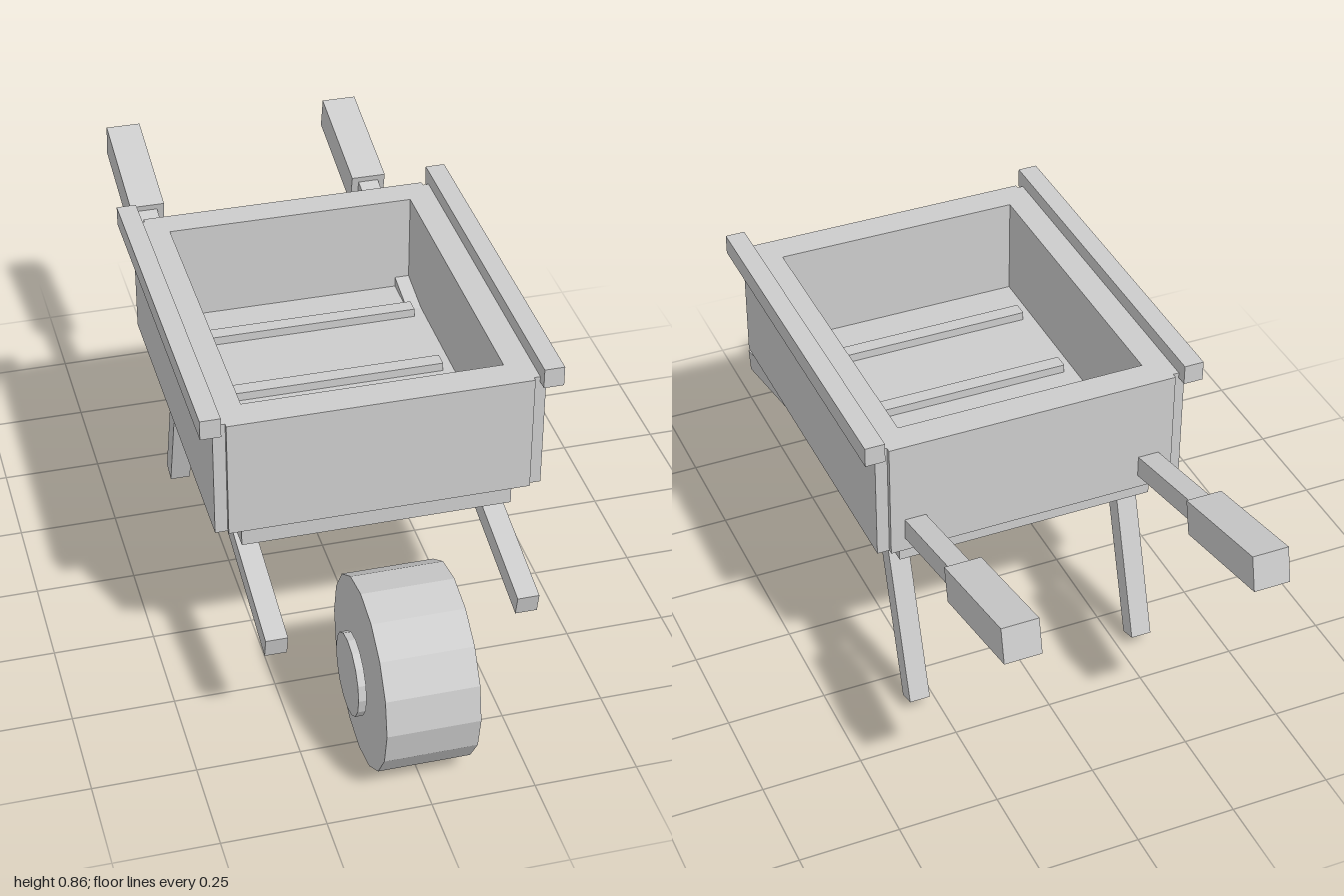
import * as THREE from 'three';

const grey = new THREE.MeshStandardMaterial({ color: 0xcccccc });
grey.name = 'plain grey';
grey.flatShading = true;

// Box given by its extents on each axis
function box(name, [x0, x1], [y0, y1], [z0, z1]) {
  const mesh = new THREE.Mesh(new THREE.BoxGeometry(x1 - x0, y1 - y0, z1 - z0), grey);
  mesh.position.set((x0 + x1) / 2, (y0 + y1) / 2, (z0 + z1) / 2);
  mesh.name = name;
  return mesh;
}

// Square beam between two [y, z] points at a given x
function beam(name, x, a, b, width, depth) {
  const dy = b[0] - a[0], dz = b[1] - a[1];
  const mesh = new THREE.Mesh(new THREE.BoxGeometry(width, depth, Math.hypot(dy, dz)), grey);
  mesh.position.set(x, (a[0] + b[0]) / 2, (a[1] + b[1]) / 2);
  mesh.rotation.x = -Math.atan2(dy, dz);
  mesh.name = name;
  return mesh;
}

// Faceted disc with its axis along x
function disc(name, radius, x0, x1) {
  const geometry = new THREE.CylinderGeometry(radius, radius, x1 - x0, 16).rotateZ(Math.PI / 2);
  const mesh = new THREE.Mesh(geometry, grey);
  mesh.position.set((x0 + x1) / 2, 0.233, 0.768);
  mesh.name = name;
  return mesh;
}

export function createModel() {
  const model = new THREE.Group();
  model.name = 'wheelbarrow';

  // Tray: base, floor, end panels and floor slats
  model.add(
    box('base', [-0.328, 0.328], [0.457, 0.53], [-0.345, 0.515]),
    box('floor', [-0.32, 0.32], [0.518, 0.565], [-0.32, 0.47]),
    box('frontPanel', [-0.364, 0.364], [0.518, 0.82], [0.463, 0.542]),
    box('backPanel', [-0.364, 0.364], [0.518, 0.82], [-0.385, -0.31])
  );
  for (const z of [-0.178, 0.075, 0.328])
    model.add(box('floorSlat', [-0.284, 0.284], [0.555, 0.587], [z - 0.019, z + 0.019]));

  // Wheel
  model.add(disc('wheel', 0.232, -0.111, 0.111));

  // Mirrored parts
  for (const [side, s] of [['left', 1], ['right', -1]]) {
    const span = (a, b) => (s > 0 ? [a, b] : [-b, -a]);
    const x = s * 0.302;
    model.add(
      box(side + 'Panel', span(0.312, 0.394), [0.518, 0.82], [-0.372, 0.531]),
      box(side + 'Rail', span(0.379, 0.428), [0.806, 0.856], [-0.4, 0.558]),
      beam(side + 'Shaft', x, [0.326, 0.739], [0.655, -0.713], 0.053, 0.054),
      beam(side + 'Grip', x, [0.646, -0.676], [0.717, -0.989], 0.09, 0.088),
      beam(side + 'Leg', x, [0.033, -0.373], [0.5, -0.223], 0.052, 0.05),
      disc(side + 'HubCap', 0.1, ...span(0.122, 0.141))
    );
  }
  return model;
}
